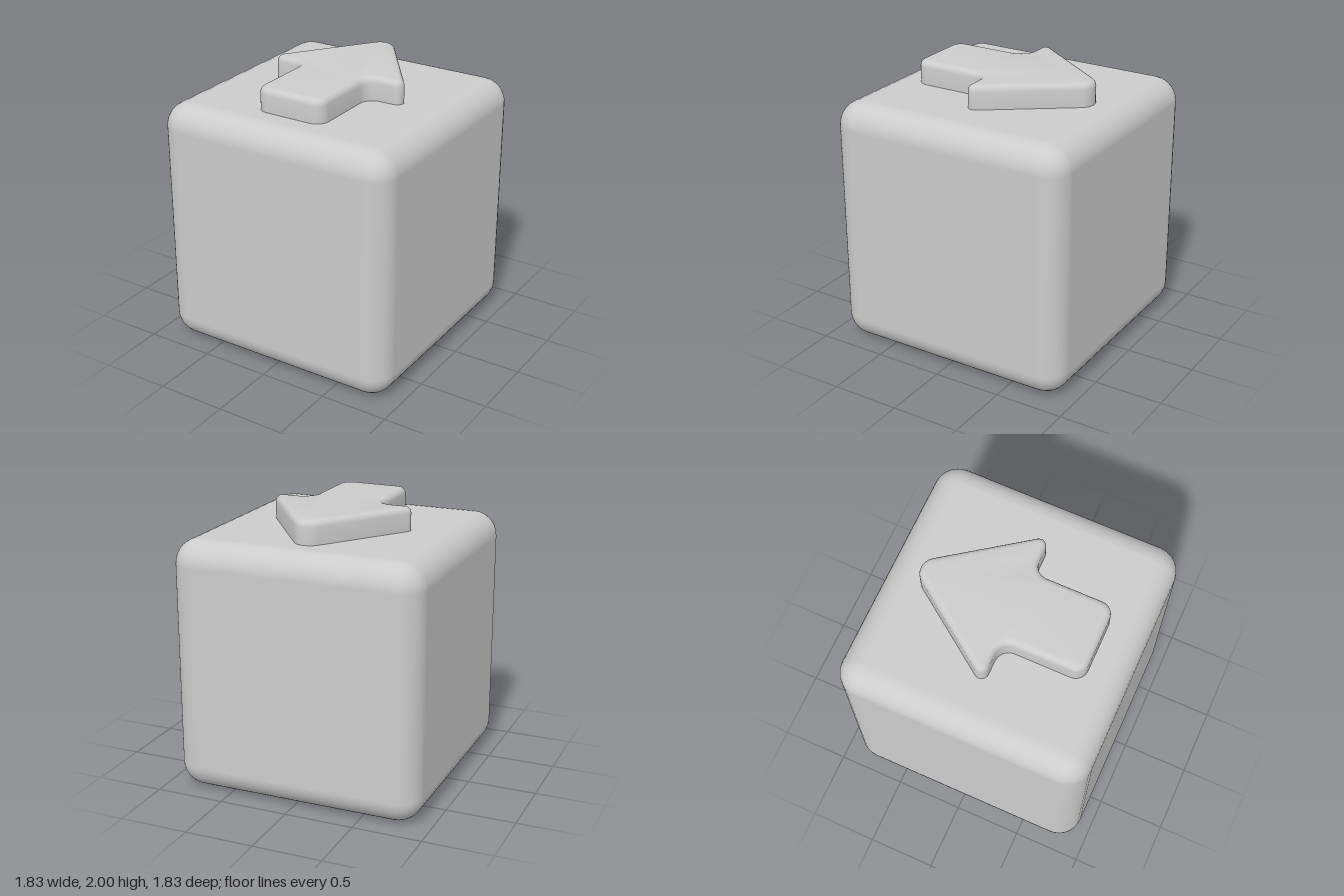
import * as THREE from 'three';
import { toCreasedNormals } from 'three/addons/utils/BufferGeometryUtils.js';
import { RoundedBoxGeometry } from 'three/addons/geometries/RoundedBoxGeometry.js';

const SIZE = 1.83;       // cube edge
const TOP = 2;           // top of the arrow
const BEVEL = 0.045;

// Closed outline whose corners [x, y, radius] are replaced by circular arcs
function roundedShape(corners, steps = 8) {
  const points = [];
  const n = corners.length;
  corners.forEach(([x, y, r], i) => {
    const corner = new THREE.Vector2(x, y);
    const [px, py] = corners[(i + n - 1) % n];
    const [nx, ny] = corners[(i + 1) % n];
    const toPrev = new THREE.Vector2(px - x, py - y).normalize();
    const toNext = new THREE.Vector2(nx - x, ny - y).normalize();
    const half = Math.acos(toPrev.dot(toNext)) / 2;
    const centre = toPrev.clone().add(toNext).normalize()
      .multiplyScalar(r / Math.sin(half)).add(corner);
    const start = toPrev.clone().multiplyScalar(r / Math.tan(half)).add(corner).sub(centre);
    const turn = Math.sign(toNext.cross(toPrev)) * (Math.PI - 2 * half);
    for (let k = 0; k <= steps; k++) {
      points.push(start.clone().rotateAround(new THREE.Vector2(), turn * k / steps).add(centre));
    }
  });
  return new THREE.Shape(points);
}

export function createModel() {
  const model = new THREE.Group();
  model.name = 'arrowBlock';
  const material = new THREE.MeshStandardMaterial({ color: 0xcccccc });

  // Cube with rounded edges
  const cube = new THREE.Mesh(new RoundedBoxGeometry(SIZE, SIZE, SIZE, 4, 0.18), material);
  cube.name = 'cube';
  cube.position.y = SIZE / 2;
  model.add(cube);

  // Raised arrow pointing to the back; right half listed, left half mirrored
  const half = [
    [0.265, -0.64, 0.09],
    [0.265, -0.05, 0.1],
    [0.565, -0.05, 0.05],
  ];
  const mirrored = half.map(([x, y, r]) => [-x, y, r]).reverse();
  const outline = roundedShape([...half, [0, 0.735, 0.11], ...mirrored]);
  const depth = 0.2;
  const geometry = new THREE.ExtrudeGeometry(outline, {
    depth,
    bevelEnabled: true,
    bevelSize: BEVEL,
    bevelOffset: -BEVEL,
    bevelThickness: BEVEL,
    bevelSegments: 4,
  });
  geometry.rotateX(-Math.PI / 2);
  const arrow = new THREE.Mesh(toCreasedNormals(geometry, 0.8), material);
  arrow.name = 'arrow';
  arrow.position.y = TOP - depth - BEVEL; // the lower bevel is sunk into the cube
  model.add(arrow);

  return model;
}
